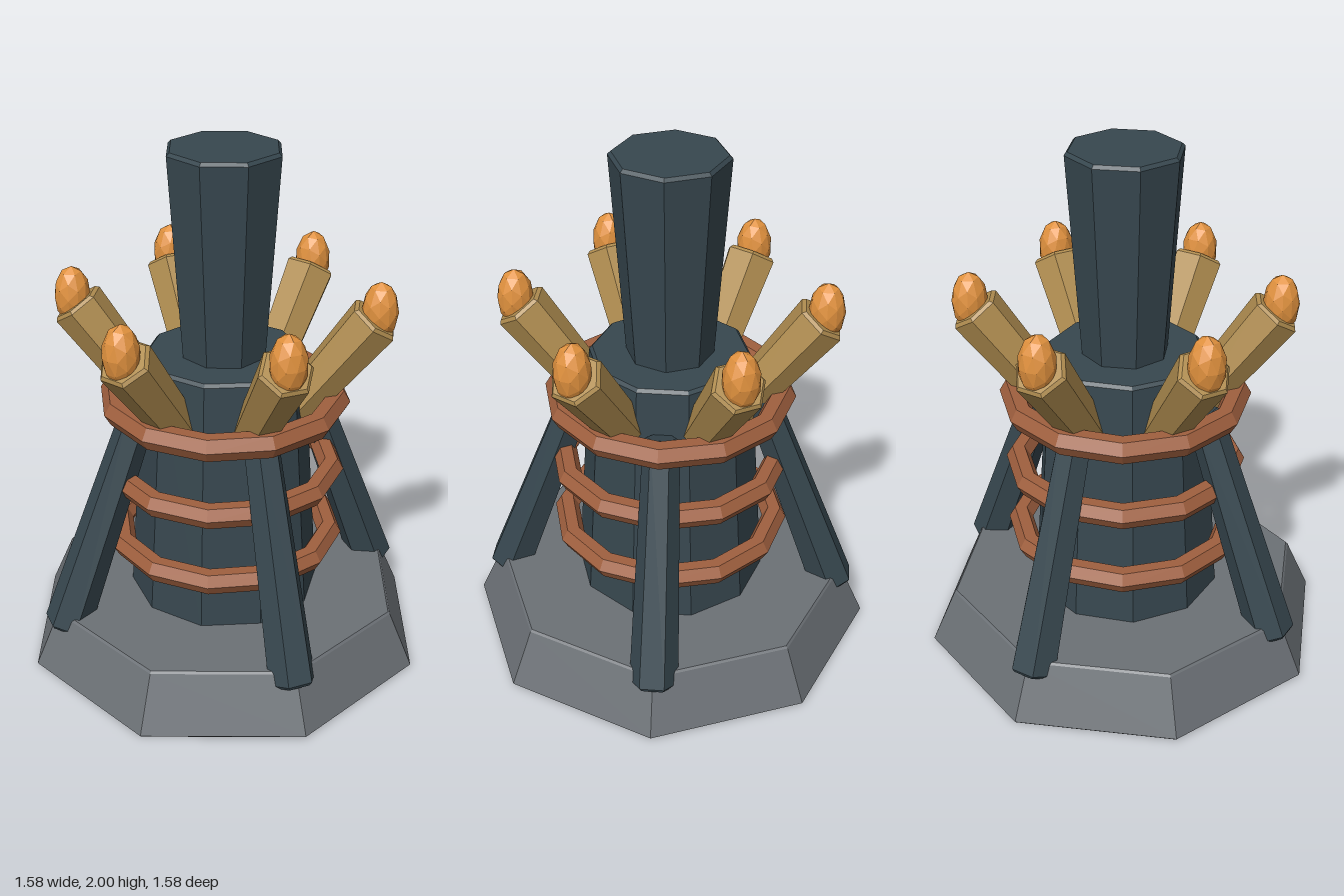
import * as THREE from 'three';

const material = (color) => new THREE.MeshStandardMaterial({ color, flatShading: true });

// Tapered prism with small chamfers, standing on its local y = 0
function taperedPrism(bottom, top, height, sides, bevel = 0.012) {
  const profile = [
    [0, 0], [bottom - bevel, 0], [bottom, bevel],
    [top, height - bevel], [top - bevel, height], [0, height],
  ].map(([r, y]) => new THREE.Vector2(r, y));
  return new THREE.LatheGeometry(profile, sides);
}

function addMesh(parent, name, geometry, mat, x = 0, y = 0, z = 0) {
  const mesh = new THREE.Mesh(geometry, mat);
  mesh.name = name;
  mesh.position.set(x, y, z);
  parent.add(mesh);
  return mesh;
}

export function createModel() {
  const model = new THREE.Group();
  model.name = 'torchTower';

  const slate = material(0x37474f);
  const stone = material(0x6c7176);
  const copper = material(0xa0603f);
  const wood = material(0xb08d50);
  const fire = material(0xe0913e);

  // Octagonal footing, ten-sided core and flared chimney
  addMesh(model, 'base', taperedPrism(0.79, 0.695, 0.23, 8, 0.008), stone);
  addMesh(model, 'core', taperedPrism(0.37, 0.302, 1.03, 10), slate, 0, 0.19);
  addMesh(model, 'chimney', taperedPrism(0.16, 0.216, 0.85, 8), slate, 0, 1.15);

  // Horizontal hoops
  const hoops = [[1.04, 0.425, 0.05], [0.752, 0.413, 0.047], [0.468, 0.413, 0.047]];
  for (const [y, radius, tube] of hoops) {
    const hoop = new THREE.TorusGeometry(radius, tube, 6, 12).rotateX(Math.PI / 2);
    addMesh(model, 'hoop', hoop, copper, 0, y);
  }

  // Four leaning struts
  const strut = taperedPrism(0.092, 0.067, 0.95, 6);
  for (let i = 0; i < 4; i++) {
    const arm = new THREE.Group();
    arm.name = 'strutArm';
    arm.rotation.y = i * Math.PI / 2;
    addMesh(arm, 'strut', strut, slate, 0.66, 0.16).rotation.z = 0.352;
    model.add(arm);
  }

  // Six torches leaning outwards, each with an upright flame
  const lean = 0.64;
  const length = 0.52;
  const handle = taperedPrism(0.078, 0.103, length, 6);
  const flame = new THREE.IcosahedronGeometry(0.068, 1).scale(1, 1.69, 1);
  for (let i = 0; i < 6; i++) {
    const torch = new THREE.Group();
    torch.name = 'torch';
    torch.rotation.y = Math.PI / 6 + i * Math.PI / 3;
    const x = 0.555 - length * Math.sin(lean);
    const y = 1.385 - length * Math.cos(lean);
    addMesh(torch, 'torchHandle', handle, wood, x, y).rotation.z = -lean;
    addMesh(torch, 'flame', flame, fire, 0.567, 1.411);
    model.add(torch);
  }

  return model;
}
